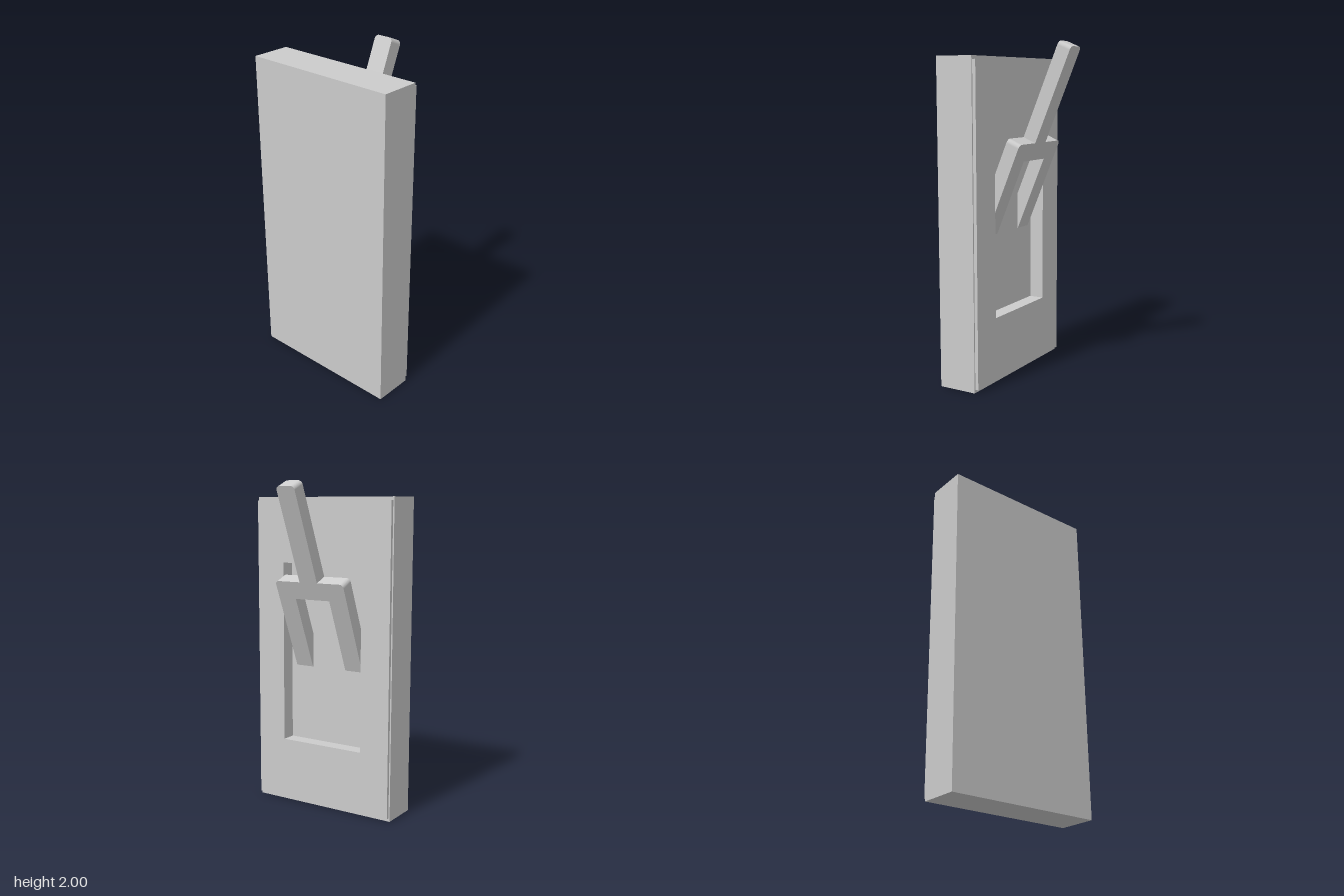
import * as THREE from 'three';

const material = new THREE.MeshStandardMaterial({ color: 0xcccccc });

function addMesh(parent, name, geometry) {
  const mesh = new THREE.Mesh(geometry, material);
  mesh.name = name;
  parent.add(mesh);
  return mesh;
}

function traceRect(path, halfWidth, bottom, top) {
  path.moveTo(-halfWidth, bottom);
  path.lineTo(halfWidth, bottom);
  path.lineTo(halfWidth, top);
  path.lineTo(-halfWidth, top);
  path.closePath();
  return path;
}

// Upright slab with the recess opening, spanning x0..x1
function slabWithOpening(halfWidth, bottom, top, x0, x1) {
  const shape = traceRect(new THREE.Shape(), halfWidth, bottom, top);
  shape.holes.push(traceRect(new THREE.Path(), 0.277, 0.4, 1.515));
  const geometry = new THREE.ExtrudeGeometry(shape, { depth: x1 - x0, bevelEnabled: false });
  return geometry.rotateY(Math.PI / 2).translate(x0, 0, 0);
}

// Forked handle outline: two prongs, a crossbar and a rounded grip
function leverShape() {
  const prong = 0.237, slot = 0.118, grip = 0.061;
  const slotTop = 0.477, barTop = 0.591, tip = 1.187, r = 0.025;
  const s = new THREE.Shape();
  s.moveTo(slot, 0);
  s.lineTo(prong, 0);
  s.lineTo(prong, barTop - r);
  s.absarc(prong - r, barTop - r, r, 0, Math.PI / 2);
  s.lineTo(grip, barTop);
  s.lineTo(grip, tip - r);
  s.absarc(grip - r, tip - r, r, 0, Math.PI / 2);
  s.absarc(-grip + r, tip - r, r, Math.PI / 2, Math.PI);
  s.lineTo(-grip, barTop);
  s.absarc(-prong + r, barTop - r, r, Math.PI / 2, Math.PI);
  s.lineTo(-prong, 0);
  s.lineTo(-slot, 0);
  s.lineTo(-slot, slotTop);
  s.lineTo(slot, slotTop);
  s.closePath();
  return s;
}

export function createModel() {
  const model = new THREE.Group();
  model.name = 'leverSwitch';
  const back = -0.313, floor = -0.148, seam = -0.077, front = -0.057;

  // Housing: solid back whose face is the recess floor, then the open frame
  const housing = new THREE.Group();
  housing.name = 'housing';
  model.add(housing);
  const backBox = new THREE.BoxGeometry(floor - back, 1.91, 0.95);
  addMesh(housing, 'housingBack', backBox.translate((back + floor) / 2, 0.955, 0));
  addMesh(housing, 'housingFrame', slabWithOpening(0.475, 0, 1.91, floor, seam));

  // Slightly smaller cover plate
  addMesh(model, 'coverPlate', slabWithOpening(0.467, 0.02, 1.89, seam, front));

  // Lever, tilted out of the recess
  const tilt = THREE.MathUtils.degToRad(22.7);
  const thickness = 0.085;
  const lever = addMesh(model, 'lever',
    new THREE.ExtrudeGeometry(leverShape(), { depth: thickness, bevelEnabled: false, curveSegments: 8 }));
  lever.rotation.set(0, Math.PI / 2, -tilt, 'ZYX');
  lever.position.set(-0.145 - thickness * Math.cos(tilt), 0.87 + thickness * Math.sin(tilt), 0);

  return model;
}
